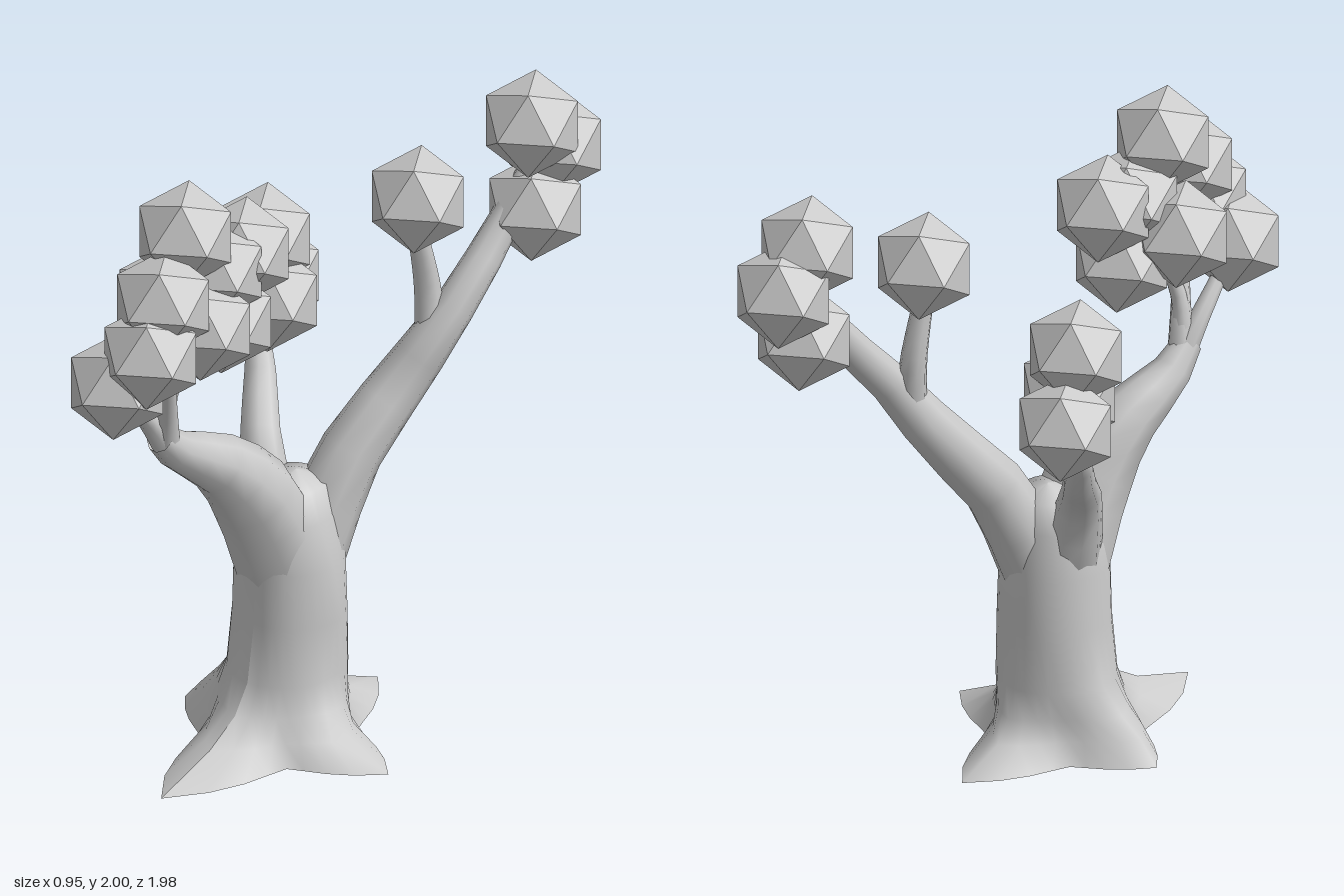
import * as THREE from 'three';

const bark = new THREE.MeshStandardMaterial({ color: 0xcccccc, side: THREE.DoubleSide });
const leaf = new THREE.MeshStandardMaterial({ color: 0xcccccc, flatShading: true });

// Trunk rows: y, centre z, reach to front / left / back / right, reach between roots
const TRUNK = [
  [0, 0.14, 0.56, 0.43, 0.47, 0.37, 0.24],
  [0.07, 0.14, 0.33, 0.28, 0.31, 0.31, 0.21],
  [0.14, 0.12, 0.23, 0.21, 0.24, 0.25, 0.195],
  [0.23, 0.1, 0.19, 0.17, 0.195, 0.19, 0.185],
  [0.42, 0.09, 0.17, 0.185, 0.175, 0.17, 0.175],
  [0.6, 0.09, 0.165, 0.175, 0.17, 0.17, 0.17],
  [0.75, 0.09, 0.17, 0.14, 0.15, 0.15, 0.15],
  [0.84, 0.07, 0.13, 0.1, 0.1, 0.12, 0.11],
];

// Trunk: a lathe whose rows are pulled out into four pointed roots
function makeTrunk() {
  const rows = [
    [0, 0.14, 0, 0, 0, 0, 0], TRUNK[0], ...TRUNK,
    [0.87, 0.06, 0, 0, 0, 0, 0],
  ];
  const sides = 32;
  const geo = new THREE.LatheGeometry(rows.map((r) => new THREE.Vector2(1, r[0])), sides);
  const pos = geo.attributes.position;
  for (let s = 0; s <= sides; s++) {
    const turn = (s / sides) * 4;
    const nearest = Math.round(turn);
    const d = Math.abs(turn - nearest) * 2;
    rows.forEach((row, j) => {
      const [y, cz] = row;
      const tip = row[2 + (nearest % 4)];
      const valley = row[6];
      const r = valley + (tip - valley) * Math.pow(1 - d, 1.5);
      const a = (turn * Math.PI) / 2;
      pos.setXYZ(s * rows.length + j, 0.03 + r * Math.sin(a), y, cz + r * Math.cos(a));
    });
  }
  geo.computeVertexNormals();
  return geo;
}

// Tapered limb through points [x, y, z, radius]
function makeLimb(points, steps = 8, sides = 9) {
  const curve = new THREE.CatmullRomCurve3(points.map((p) => new THREE.Vector3(p[0], p[1], p[2])));
  const geo = new THREE.TubeGeometry(curve, steps, 1, sides);
  const pos = geo.attributes.position;
  const v = new THREE.Vector3();
  for (let i = 0; i <= steps; i++) {
    const c = curve.getPointAt(i / steps);
    const t = curve.getUtoTmapping(i / steps) * (points.length - 1);
    const k = Math.min(Math.floor(t), points.length - 2);
    const r = THREE.MathUtils.lerp(points[k][3], points[k + 1][3], t - k);
    for (let j = 0; j <= sides; j++) {
      const n = i * (sides + 1) + j;
      v.fromBufferAttribute(pos, n).sub(c).multiplyScalar(r).add(c);
      pos.setXYZ(n, v.x, v.y, v.z);
    }
  }
  return geo;
}

const LIMBS = {
  frontBranch: [[0.02, 0.58, 0.11, 0.15], [0.01, 0.85, 0.24, 0.135], [-0.02, 0.99, 0.36, 0.1],
    [-0.05, 1.09, 0.52, 0.065], [-0.05, 1.17, 0.61, 0.045]],
  frontTwigLow: [[-0.05, 1.14, 0.58, 0.045], [-0.06, 1.24, 0.65, 0.032], [-0.05, 1.4, 0.8, 0.02]],
  frontTwigHigh: [[-0.05, 1.13, 0.58, 0.045], [-0.02, 1.27, 0.61, 0.032], [0.03, 1.45, 0.67, 0.022]],
  frontTwigInner: [[-0.05, 1.14, 0.59, 0.035], [-0.02, 1.32, 0.6, 0.025], [0.02, 1.5, 0.55, 0.02]],
  backBranch: [[0.06, 0.58, 0.05, 0.12], [0.11, 0.88, -0.09, 0.1], [0.18, 1.1, -0.27, 0.085],
    [0.26, 1.3, -0.4, 0.065], [0.29, 1.5, -0.58, 0.055], [0.32, 1.72, -0.74, 0.035]],
  backTwig: [[0.22, 1.2, -0.35, 0.05], [0.2, 1.38, -0.36, 0.042], [0.19, 1.6, -0.32, 0.03]],
  rightBranch: [[-0.04, 0.65, 0.08, 0.1], [-0.13, 0.88, 0.03, 0.065], [-0.25, 1.03, -0.11, 0.05],
    [-0.33, 1.17, -0.2, 0.03], [-0.34, 1.28, -0.26, 0.018]],
  rightTwigInner: [[-0.29, 1.1, -0.16, 0.028], [-0.26, 1.19, -0.15, 0.02], [-0.21, 1.28, -0.11, 0.015]],
  rightTwigHigh: [[-0.31, 1.13, -0.18, 0.028], [-0.31, 1.26, -0.18, 0.02], [-0.28, 1.42, -0.15, 0.015]],
};

// Foliage centres by cluster
const FOLIAGE = {
  frontFoliage: [[0, 1.86, 0.55], [0.05, 1.71, 0.715], [0.02, 1.71, 0.3], [0.02, 1.7, 0.43],
    [0.07, 1.57, 0.8], [-0.04, 1.44, 0.825], [0.075, 1.57, 0.55], [0.02, 1.51, 0.385],
    [-0.11, 1.59, 0.51]],
  backFoliage: [[0.32, 1.73, -0.82], [0.325, 1.84, -0.705], [0.325, 1.55, -0.72], [0.19, 1.69, -0.325]],
  rightFoliage: [[-0.27, 1.48, -0.15], [-0.205, 1.31, -0.105], [-0.33, 1.29, -0.265]],
};

export function createModel() {
  const model = new THREE.Group();
  model.name = 'tree';
  const add = (parent, name, geo, mat) => {
    const mesh = new THREE.Mesh(geo, mat);
    mesh.name = name;
    parent.add(mesh);
    return mesh;
  };

  add(model, 'trunk', makeTrunk(), bark);
  for (const [name, points] of Object.entries(LIMBS)) add(model, name, makeLimb(points), bark);

  // Leaf balls: icosahedra with a corner pointing forward
  const ball = new THREE.IcosahedronGeometry(0.165, 0);
  ball.rotateX(Math.atan(2 / (1 + Math.sqrt(5))));
  ball.rotateZ(Math.PI / 2);
  for (const [name, centres] of Object.entries(FOLIAGE)) {
    const cluster = new THREE.Group();
    cluster.name = name;
    centres.forEach((c) => add(cluster, 'leafBall', ball, leaf).position.set(...c));
    model.add(cluster);
  }
  return model;
}
